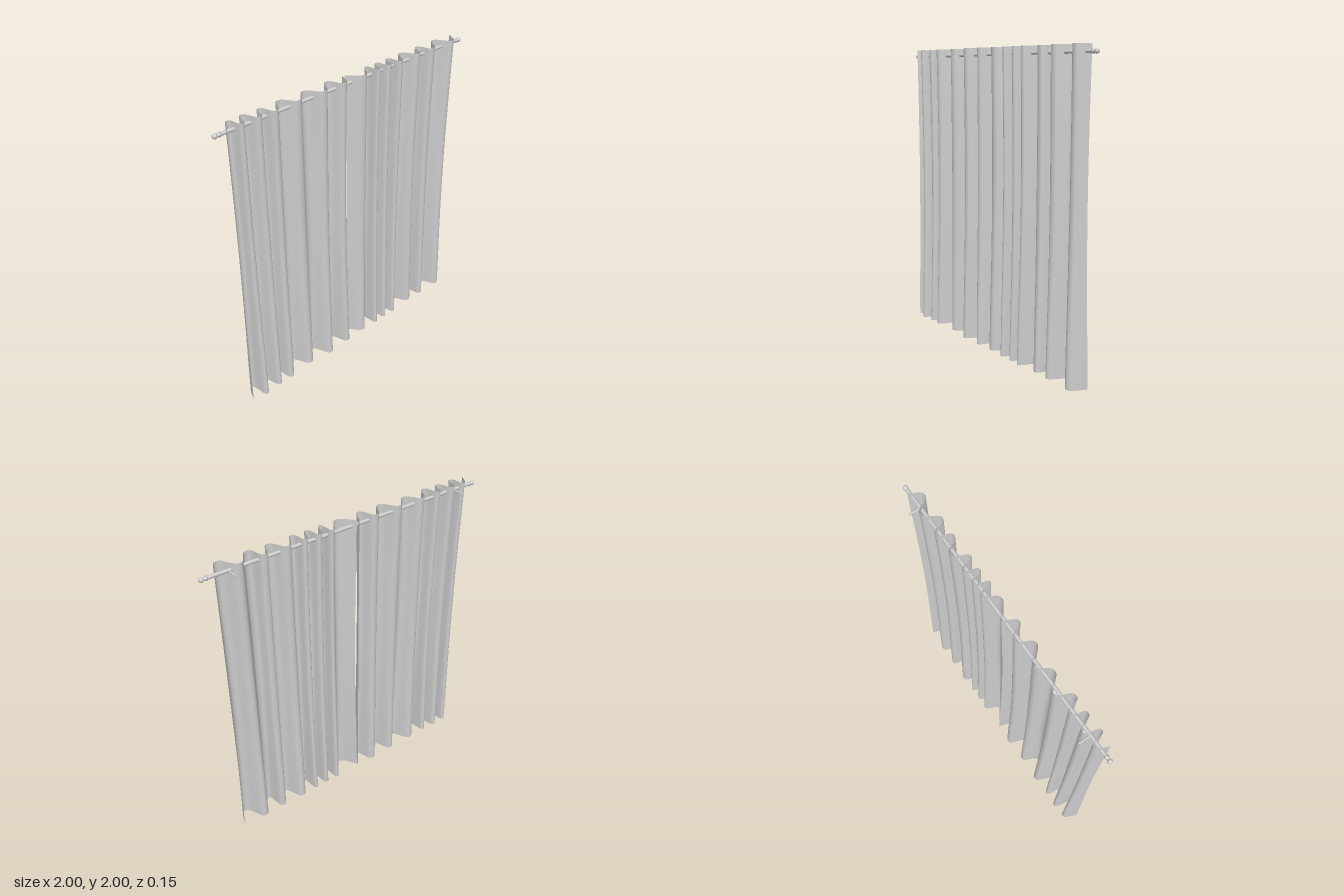
import * as THREE from 'three';

const ROD_Y = 1.957;
const BOTTOM = 0.005;

// Outermost points of the folds along each panel: x, and +1 (front) or -1 (back)
const RIGHT_PANEL = [[-0.93, 0.6], [-0.88, -0.9], [-0.838, 1], [-0.785, -1], [-0.722, 0.9], [-0.67, -0.9],
  [-0.612, 1], [-0.53, -1], [-0.44, 0.7], [-0.35, -0.9], [-0.255, 1], [-0.17, -1], [-0.098, 0.95], [-0.045, -0.9]];
const LEFT_PANEL = [[-0.03, -0.8], [0.065, 0.9], [0.15, -1], [0.185, 1], [0.235, -0.9], [0.28, 0.9],
  [0.332, -0.9], [0.378, 1], [0.455, -1], [0.54, 0.85], [0.605, -0.95], [0.67, 1], [0.765, -1], [0.858, 1], [0.918, -0.8]];

// Plan curve of a panel, each fold rounded by a pair of points
function foldCurve(folds) {
  const pts = [];
  folds.forEach(([x, s], i) => {
    if (i === 0 || i === folds.length - 1) {
      pts.push(new THREE.Vector3(x, 0, s));
      return;
    }
    const gap = Math.min(x - folds[i - 1][0], folds[i + 1][0] - x);
    const w = Math.min(0.018, gap * 0.27);
    pts.push(new THREE.Vector3(x - w, 0, s * 0.93), new THREE.Vector3(x + w, 0, s * 0.93));
  });
  // scale z to true depth so that the spline is rounded in real proportions
  pts.forEach(p => { p.z *= 0.045; });
  return new THREE.CatmullRomCurve3(pts);
}

// Hanging cloth: the plan curve swept down, tighter at mid height and flared at the hem
function curtain(name, folds, seed) {
  const cols = folds.length * 20, rows = 28;
  const curve = foldCurve(folds);
  const plan = curve.getPoints(cols);
  const mid = (folds[0][0] + folds[folds.length - 1][0]) / 2;
  const geo = new THREE.PlaneGeometry(1, 1, cols, rows);
  const pos = geo.attributes.position;
  for (let r = 0; r <= rows; r++) {
    const t = r / rows;
    const depth = 1 - 0.18 * Math.sin(Math.PI * Math.min(1, t * 1.15)) + 0.33 * Math.pow(t, 3);
    const pinch = 1 - 0.012 * Math.sin(Math.PI * t);
    for (let c = 0; c <= cols; c++) {
      const p = plan[c];
      const drift = 0.006 * t * Math.sin(p.x * 17 + seed + t * 2);
      const hem = 0.005 * Math.sin(p.x * 9 + seed) * t;
      pos.setXYZ(r * (cols + 1) + c,
        mid + (p.x - mid) * pinch + drift,
        2 + (BOTTOM - 2) * t + hem,
        0.01 + p.z * depth);
    }
  }
  geo.computeVertexNormals();
  const mesh = new THREE.Mesh(geo, new THREE.MeshStandardMaterial({ color: 0xcccccc, side: THREE.DoubleSide }));
  mesh.name = name;
  return mesh;
}

export function createModel() {
  const model = new THREE.Group();
  model.name = 'curtains';
  const metal = new THREE.MeshStandardMaterial({ color: 0xcccccc });
  const add = (name, geo, x, y, z) => {
    const mesh = new THREE.Mesh(geo, metal);
    mesh.name = name;
    mesh.position.set(x, y, z);
    model.add(mesh);
    return mesh;
  };

  model.add(curtain('rightCurtain', RIGHT_PANEL, 0.4), curtain('leftCurtain', LEFT_PANEL, 2.1));

  // Rod
  add('rod', new THREE.CylinderGeometry(0.011, 0.011, 1.91, 20), 0, ROD_Y, 0).rotation.z = Math.PI / 2;

  // Finial: collar, neck and ball, turned outward at each end
  const profile = [[0, 0], [0.014, 0], [0.014, 0.012], [0.008, 0.016], [0.008, 0.022], [0.013, 0.026],
    [0.016, 0.033], [0.015, 0.041], [0.01, 0.047], [0, 0.05]].map(([r, h]) => new THREE.Vector2(r, h));
  const finial = new THREE.LatheGeometry(profile, 20);

  for (const [side, s] of [['left', 1], ['right', -1]]) {
    add(side + 'Finial', finial, s * 0.95, ROD_Y, 0).rotation.z = -s * Math.PI / 2;
    // Wall bracket: arm running back from the rod
    add(side + 'Bracket', new THREE.CylinderGeometry(0.006, 0.006, 0.077, 12), s * 0.82, ROD_Y, -0.0385).rotation.x = Math.PI / 2;
  }
  return model;
}
